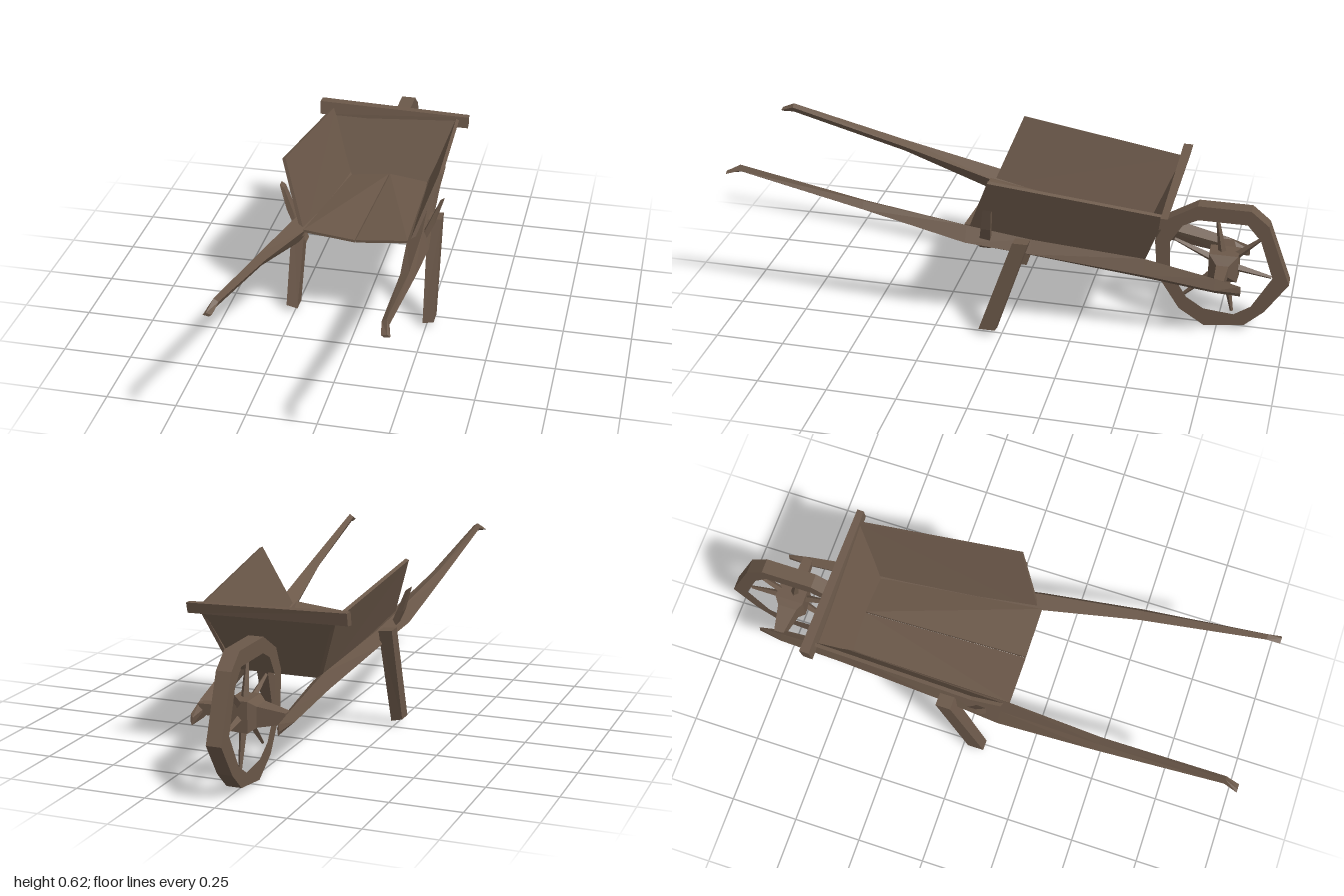
import * as THREE from 'three';

const wood = new THREE.MeshStandardMaterial({ color: 0x6b5849, flatShading: true });
wood.name = 'weathered wood';

// Closed solid through a list of four-cornered sections; faces are turned outward.
function loft(sections) {
  const v = sections.map((s) => s.map((p) => new THREE.Vector3(...p)));
  let tris = [];
  const quad = (a, b, c, d) => tris.push([a, b, c], [a, c, d]);
  for (let i = 0; i < v.length - 1; i++) {
    for (let k = 0; k < 4; k++) {
      const n = (k + 1) % 4;
      quad(v[i][k], v[i][n], v[i + 1][n], v[i + 1][k]);
    }
  }
  const e = v[v.length - 1];
  quad(v[0][3], v[0][2], v[0][1], v[0][0]);
  quad(e[0], e[1], e[2], e[3]);
  const o = v[0][0];
  let volume = 0;
  for (const [a, b, c] of tris) {
    const p = a.clone().sub(o), q = b.clone().sub(o), r = c.clone().sub(o);
    volume += p.dot(q.cross(r));
  }
  if (volume < 0) tris = tris.map(([a, b, c]) => [a, c, b]);
  const g = new THREE.BufferGeometry().setFromPoints(tris.flat());
  g.computeVertexNormals();
  return g;
}

// Board: one face plus the same face shifted by its thickness.
const board = (face, shift) =>
  loft([face, face.map((p) => p.map((c, i) => c + shift[i]))]);

// Horizontal rectangle used for legs and posts.
const rect = (x0, x1, y0, y1, z0, z1) =>
  [[x0, y0, z0], [x1, y1, z0], [x1, y1, z1], [x0, y0, z1]];

export function createModel() {
  const model = new THREE.Group();
  model.name = 'wheelbarrow';
  const add = (name, geometry, parent = model) => {
    const mesh = new THREE.Mesh(geometry, wood);
    mesh.name = name;
    parent.add(mesh);
    return mesh;
  };

  // Shaft sections: z, inner x, outer x, bottom y, top y
  const shaft = [
    [1.0, 0.27, 0.3, 0.55, 0.562],
    [0.95, 0.262, 0.287, 0.556, 0.587],
    [0.5, 0.232, 0.28, 0.448, 0.487],
    [0.13, 0.185, 0.265, 0.335, 0.42],
    [-0.1, 0.172, 0.235, 0.305, 0.378],
    [-0.5, 0.138, 0.195, 0.245, 0.33],
    [-0.75, 0.138, 0.175, 0.212, 0.275],
    [-0.84, 0.15, 0.158, 0.21, 0.25],
  ];

  for (const s of [1, -1]) {
    const side = s > 0 ? 'left' : 'right';

    // Long tapered shaft with a tilted section
    add(side + 'Shaft', loft(shaft.map(([z, a, b, y0, y1]) => {
      const w = b - a, h = y1 - y0;
      return [
        [s * (a + 0.35 * w), y0, z], [s * b, y0 + 0.35 * h, z],
        [s * (a + 0.65 * w), y1, z], [s * a, y0 + 0.65 * h, z],
      ];
    })));

    // Leaning side of the tub
    add(side + 'SidePanel', board([
      [s * 0.28, 0.625, 0.04], [s * 0.24, 0.545, -0.575],
      [s * 0.15, 0.3, -0.49], [s * 0.188, 0.37, 0.14],
    ], [s * 0.012, -0.005, 0]));

    // Half of the floor, with a slit along the centre
    add(side + 'FloorPlank', board([
      [s * 0.002, 0.38, 0.15], [s * 0.19, 0.4, 0.15],
      [s * 0.152, 0.31, -0.47], [s * 0.002, 0.328, -0.47],
    ], [0, -0.01, 0]));

    // Stake that holds the side up
    add(side + 'Stake', loft([
      rect(s * 0.195, s * 0.225, 0.315, 0.335, 0.05, 0.09),
      rect(s * 0.25, s * 0.272, 0.43, 0.43, 0.035, 0.07),
      rect(s * 0.285, s * 0.3, 0.51, 0.52, 0.025, 0.055),
    ]));

    // Raked leg
    add(side + 'Leg', loft([
      rect(s * 0.228, s * 0.278, 0.385, 0.39, -0.1, -0.045),
      rect(s * 0.238, s * 0.28, 0.015, 0.025, 0.02, 0.08),
    ]));
  }

  // Sloping end board and its top rail
  add('endBoard', board([
    [-0.25, 0.545, -0.565], [0.25, 0.545, -0.565],
    [0.15, 0.31, -0.465], [-0.15, 0.31, -0.465],
  ], [0, -0.005, -0.012]));
  add('topRail', loft([
    [[-0.295, 0.52, -0.55], [-0.295, 0.57, -0.56], [-0.295, 0.57, -0.595], [-0.295, 0.525, -0.585]],
    [[0.288, 0.512, -0.56], [0.288, 0.555, -0.565], [0.288, 0.555, -0.59], [0.288, 0.517, -0.58]],
  ]));

  // Wheel rim: uneven polygon ring in the side plane (distance back, height)
  const wheel = new THREE.Group();
  wheel.name = 'wheel';
  model.add(wheel);
  const points = (list) => list.map(([u, y]) => new THREE.Vector2(u, y));
  const rim = new THREE.Shape(points([
    [0.66, 0.483], [0.85, 0.483], [0.915, 0.43], [1.0, 0.205], [0.92, 0.085], [0.85, 0.02],
    [0.705, 0], [0.61, 0.06], [0.525, 0.19], [0.513, 0.33], [0.555, 0.42],
  ]));
  rim.holes.push(new THREE.Path(points([
    [0.665, 0.428], [0.84, 0.428], [0.89, 0.37], [0.94, 0.225], [0.87, 0.1], [0.81, 0.06],
    [0.7, 0.07], [0.635, 0.11], [0.572, 0.21], [0.568, 0.33], [0.61, 0.4],
  ])));
  const rimGeometry = new THREE.ExtrudeGeometry(rim, { depth: 0.054, bevelEnabled: false });
  rimGeometry.rotateY(Math.PI / 2).translate(-0.027, 0, 0);
  add('rim', rimGeometry, wheel);

  // Axle swelling into a square hub: x, half size
  add('axleAndHub', loft([
    [-0.155, 0.018], [-0.06, 0.036], [-0.035, 0.054], [0.035, 0.052], [0.06, 0.022], [0.16, 0.018],
  ].map(([x, r]) => [
    [x, 0.25 - r, -0.762 - r], [x, 0.25 - r, -0.762 + r],
    [x, 0.25 + r, -0.762 + r], [x, 0.25 + r, -0.762 - r],
  ])), wheel);

  // Tapered spokes from the hub to the rim
  const hub = new THREE.Vector3(0, 0.25, -0.762);
  for (const [z, y] of [[-0.73, 0.43], [-0.895, 0.37], [-0.935, 0.215], [-0.8, 0.06], [-0.615, 0.1], [-0.58, 0.33]]) {
    const end = new THREE.Vector3(0, y, z);
    const dir = end.clone().sub(hub);
    const spoke = add('spoke', new THREE.CylinderGeometry(0.006, 0.018, dir.length(), 4), wheel);
    spoke.position.copy(hub).add(end).multiplyScalar(0.5);
    spoke.quaternion.setFromUnitVectors(new THREE.Vector3(0, 1, 0), dir.normalize());
  }

  return model;
}
